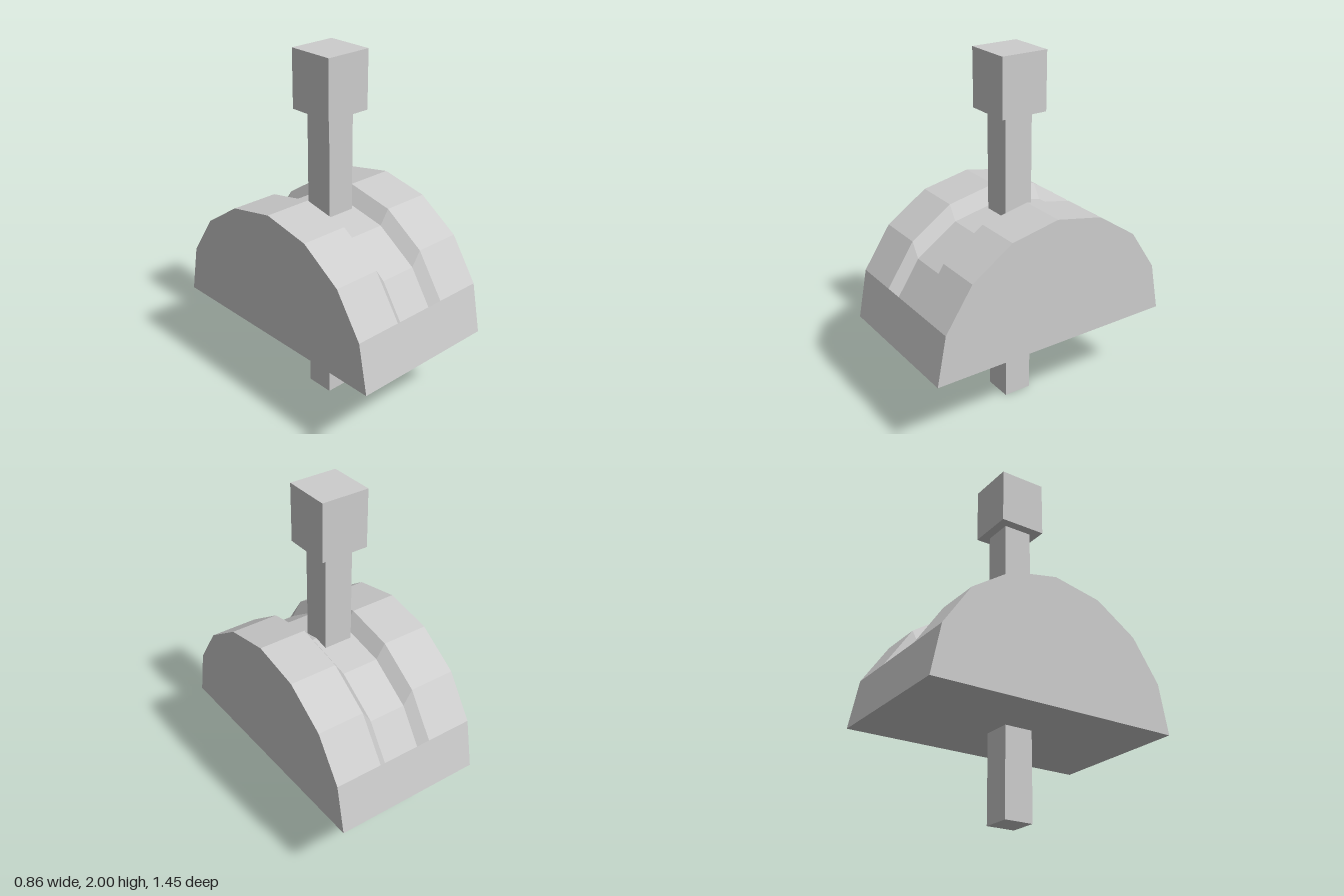
import * as THREE from 'three';

const HALF_WIDTH = 0.43, RIM = 0.16, FLOOR = 0.107;   // x of the body sides, groove rim and groove floor
const BASE_Y = 0.49, RADIUS = 0.725, SEGMENTS = 8, DEPTH = 0.08;

// Half-round housing with a sunken groove running over the top
function housingGeometry() {
  const pos = [];
  const tri = (a, b, c) => pos.push(...a, ...b, ...c);
  const quad = (a, b, c, d) => { tri(a, b, c); tri(a, c, d); };

  // Arc from the front bottom edge to the back bottom edge, as [y, z]
  const arc = [];
  for (let i = 0; i <= SEGMENTS; i++) {
    const t = (i / SEGMENTS) * Math.PI;
    arc.push([BASE_Y + RADIUS * Math.sin(t), RADIUS * Math.cos(t)]);
  }
  const first = 1, last = SEGMENTS - 1;

  // Groove floor: the arc lowered, with its two ends pulled in
  const floor = arc.map(([y, z]) => [y - DEPTH, z]);
  floor[first] = [0.715, 0.65];
  floor[last] = [0.715, -0.65];

  const at = (x, [y, z]) => [x, y, z];
  const rails = [[-HALF_WIDTH, arc], [-RIM, arc], [-FLOOR, floor], [FLOOR, floor], [RIM, arc], [HALF_WIDTH, arc]];
  const strip = ([x0, p], [x1, q], i) => quad(at(x0, p[i]), at(x1, q[i]), at(x1, q[i + 1]), at(x0, p[i + 1]));

  for (let i = 0; i < SEGMENTS; i++) {
    if (i < first || i >= last) strip(rails[0], rails[5], i);
    else for (let r = 0; r < 5; r++) strip(rails[r], rails[r + 1], i);
    // Flat sides
    const s = HALF_WIDTH;
    tri(at(s, arc[0]), at(s, arc[i + 1]), at(s, arc[i]));
    tri(at(-s, arc[0]), at(-s, arc[i]), at(-s, arc[i + 1]));
  }

  // Groove end walls
  quad(at(-RIM, arc[first]), at(RIM, arc[first]), at(FLOOR, floor[first]), at(-FLOOR, floor[first]));
  quad(at(-FLOOR, floor[last]), at(FLOOR, floor[last]), at(RIM, arc[last]), at(-RIM, arc[last]));

  // Underside
  const f = arc[0], b = arc[SEGMENTS];
  quad(at(-HALF_WIDTH, b), at(HALF_WIDTH, b), at(HALF_WIDTH, f), at(-HALF_WIDTH, f));

  const g = new THREE.BufferGeometry();
  g.setAttribute('position', new THREE.Float32BufferAttribute(pos, 3));
  g.computeVertexNormals();
  return g;
}

export function createModel() {
  const group = new THREE.Group();
  const grey = new THREE.MeshStandardMaterial({ color: 0xcccccc });
  grey.name = 'light grey';

  const add = (name, geometry, y = 0) => {
    const mesh = new THREE.Mesh(geometry, grey);
    mesh.name = name;
    mesh.position.y = y;
    group.add(mesh);
  };

  add('housing', housingGeometry());
  // Square lever through the housing, with a block handle on top
  add('lever', new THREE.BoxGeometry(0.165, 1.68, 0.165), 0.84);
  add('handle', new THREE.BoxGeometry(0.27, 0.32, 0.27), 1.84);
  return group;
}
